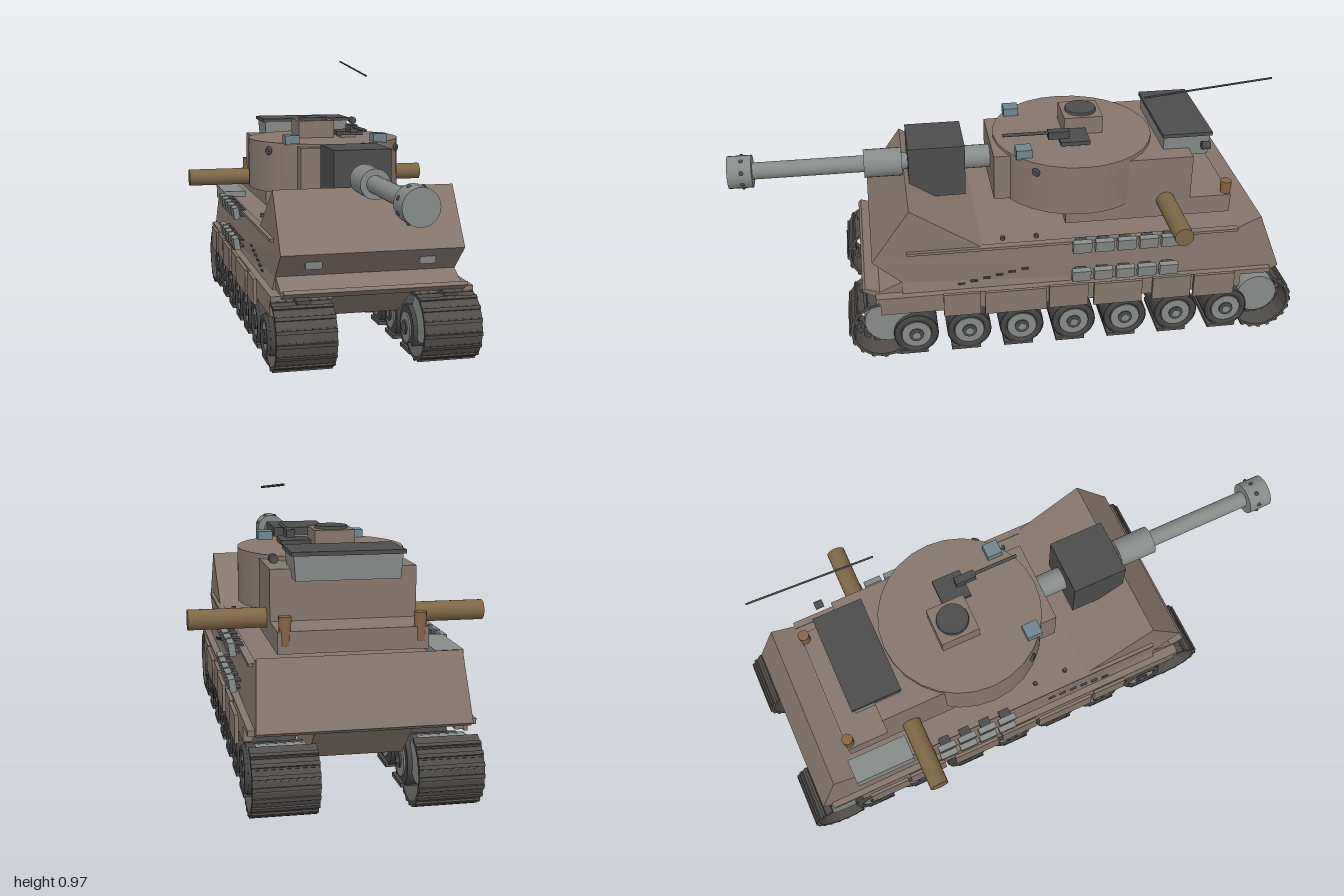
import * as THREE from 'three';

const mat = (color, flat = false) => new THREE.MeshStandardMaterial({ color, flatShading: flat, side: THREE.DoubleSide });
const paint = mat(0x85766d, true), armour = mat(0x85766d), dark = mat(0x4c4c4c), steel = mat(0x868a88),
  rubber = mat(0x454444), trackMetal = mat(0x504d4a), wood = mat(0x7d6746), glass = mat(0x71858f), copper = mat(0x8a6444);

export function createModel() {
  const model = new THREE.Group();
  model.name = 'tank';

  const add = (name, geometry, material, x = 0, y = 0, z = 0, parent = model) => {
    const mesh = new THREE.Mesh(geometry, material);
    mesh.name = name;
    mesh.position.set(x, y, z);
    parent.add(mesh);
    return mesh;
  };
  const group = (name) => {
    const g = new THREE.Group();
    g.name = name;
    model.add(g);
    return g;
  };
  // Box given by its limits on each axis
  const box = (name, m, [x0, x1], [y0, y1], [z0, z1], parent) =>
    add(name, new THREE.BoxGeometry(x1 - x0, y1 - y0, z1 - z0), m, (x0 + x1) / 2, (y0 + y1) / 2, (z0 + z1) / 2, parent);
  const cylX = (name, m, r, len, x, y, z, parent, sides = 20) =>
    add(name, new THREE.CylinderGeometry(r, r, len, sides).rotateZ(Math.PI / 2), m, x, y, z, parent);
  const cylZ = (name, m, r, z0, z1, x, y, parent, sides = 24) =>
    add(name, new THREE.CylinderGeometry(r, r, z1 - z0, sides).rotateX(Math.PI / 2), m, x, y, (z0 + z1) / 2, parent);
  // Side profile of [z, y] points, extruded across x; half width follows a rule of height
  const sideExtrude = (name, points, half) => {
    const shape = new THREE.Shape(points.map(([z, y]) => new THREE.Vector2(-z, y)));
    const g = new THREE.ExtrudeGeometry(shape, { depth: 2, bevelEnabled: false });
    g.translate(0, 0, -1).rotateY(Math.PI / 2);
    const p = g.attributes.position;
    for (let i = 0; i < p.count; i++) p.setX(i, p.getX(i) * half(p.getY(i)));
    g.computeVertexNormals();
    return add(name, g, paint);
  };

  // Hull: wedge nose, flat deck, raised rear lip
  sideExtrude('upperHull', [[0.42, 0.31], [0.52, 0.4], [0.385, 0.595], [0.135, 0.43], [-0.78, 0.43],
    [-0.865, 0.47], [-0.945, 0.265], [-0.92, 0.25], [0.42, 0.25]], (y) => (y < 0.3 ? 0.325 : 0.312));
  sideExtrude('lowerHull', [[0.5, 0.27], [0.3, 0.14], [-0.8, 0.14], [-0.92, 0.26]], () => 0.148);
  sideExtrude('nosePlate', [[0.41, 0.316], [0.5, 0.275], [0.55, 0.293], [0.56, 0.282], [0.51, 0.255], [0.41, 0.255]], () => 0.31);
  for (const s of [-1, 1]) {
    const side = s > 0 ? 'left' : 'right';
    const span = (a, b) => (s > 0 ? [a, b] : [-b, -a]);

    // Fenders and skirts
    const plates = group(side + 'Skirts');
    box('fender', paint, span(0.14, 0.345), [0.25, 0.268], [-0.91, 0.515], plates);
    box('innerSkirt', paint, span(0.315, 0.345), [0.2, 0.268], [-0.8, 0.5], plates);
    [[0.28, 0.15], [0.135, -0.085], [-0.095, -0.235], [-0.255, -0.43], [-0.47, -0.61], [-0.62, -0.77]].forEach(([a, b], i) =>
      box('skirtPanel', paint, span(0.35 + (i % 2) * 0.005, 0.362 + (i % 2) * 0.005), [0.185, 0.275], [b, a], plates));
    box('frontTab', trackMetal, span(0.225, 0.27), [0.25, 0.262], [0.5, 0.57], plates);
    box('sideRail', paint, span(0.3, 0.325), [0.424, 0.434], [-0.78, 0.4], plates);
    for (let i = 0; i < 6; i++)
      box('sideBolt', dark, span(0.31, 0.322), [0.285 + i * 0.009, 0.291 + i * 0.009], [0.2 - i * 0.045, 0.225 - i * 0.045], plates);

    // Spare links in two rows
    const spares = group(side + 'SpareLinks');
    for (const y of [0.425, 0.307])
      for (let i = 0; i < 5; i++) {
        const z = -0.21 - i * 0.079;
        const link = add('spareLink', new THREE.BoxGeometry(0.022, 0.044, 0.066), steel, s * 0.347, y, z, spares);
        link.rotation.z = -s * 0.15;
        for (const dy of [-0.012, 0.012])
          box('linkBracket', dark, span(0.31, 0.34), [y + dy - 0.003, y + dy + 0.003], [z - 0.02, z + 0.02], spares);
      }

    // Road wheels, each with a track pad beneath
    const gear = group(side + 'RunningGear');
    for (let i = 0; i < 7; i++) {
      const z = 0.38 - i * 0.19;
      cylX('tyre', rubber, 0.08, 0.18, s * 0.245, 0.1, z, gear, 24);
      add('wheelRim', new THREE.TorusGeometry(0.066, 0.012, 6, 24).rotateY(Math.PI / 2), rubber, s * 0.335, 0.1, z, gear);
      cylX('wheelDisc', steel, 0.053, 0.19, s * 0.245, 0.1, z, gear);
      cylX('wheelHub', dark, 0.026, 0.2, s * 0.245, 0.1, z, gear, 12);
      cylX('wheelCap', steel, 0.014, 0.205, s * 0.245, 0.1, z, gear, 10);
      box('trackPad', trackMetal, span(0.145, 0.345), [0.022, 0.036], [z - 0.04, z + 0.065], gear);
    }
    cylX('sprocket', steel, 0.085, 0.15, s * 0.245, 0.155, 0.475, gear, 16);
    cylX('idler', steel, 0.075, 0.15, s * 0.245, 0.14, -0.88, gear, 20);

    // Track wrapped round each end: centre z, y, radius, first and last angle
    for (const [cz, cy, r, a0, a1] of [[0.497, 0.135, 0.108, 1.75, -2.1], [-0.89, 0.118, 0.104, 2.1, 5.15]]) {
      const n = 10;
      for (let i = 0; i <= n; i++) {
        const a = a0 + ((a1 - a0) * i) / n;
        const link = new THREE.Group();
        link.name = 'trackLink';
        link.position.set(s * 0.245, cy + Math.sin(a) * r, cz + Math.cos(a) * r);
        link.rotation.x = -a;
        gear.add(link);
        // Local +z points outward, local y runs along the track
        add('linkPlate', new THREE.BoxGeometry(0.2, 0.046, 0.01), trackMetal, 0, 0, 0, link);
        add('linkBar', new THREE.BoxGeometry(0.2, 0.012, 0.012), trackMetal, 0, 0.012, 0.005, link);
        add('guideTooth', new THREE.BoxGeometry(0.045, 0.02, 0.02), trackMetal, 0, 0, -0.012, link);
      }
    }

    // Paired fittings
    const lamp = add(side + 'Headlight', new THREE.BoxGeometry(0.056, 0.042, 0.04), steel, s * 0.195, 0.366, 0.465);
    lamp.rotation.x = 0.1;
    box(side + 'Periscope', glass, span(0.14, 0.192), [0.7, 0.734], [-0.055, 0.0]);
    const eye = add(side + 'LiftingHook', new THREE.TorusGeometry(0.01, 0.006, 6, 12), dark, s * 0.243, 0.675, -0.06);
    eye.rotation.y = s * 0.9;
    add(side + 'RearPost', new THREE.CylinderGeometry(0.02, 0.017, 0.09, 14), copper, s * 0.21, 0.525, -0.757);
    for (const z of [0.06, -0.06])
      add(side + 'DeckBolt', new THREE.CylinderGeometry(0.008, 0.008, 0.012, 8), dark, s * 0.27, 0.436, z);
  }

  // Turret with rear bustle and base block
  box('turretBase', paint, [-0.235, 0.235], [0.455, 0.525], [-0.77, -0.17]);
  add('turret', new THREE.CylinderGeometry(0.287, 0.287, 0.185, 28), armour, 0, 0.6125, -0.228);
  box('bustle', paint, [-0.235, 0.235], [0.52, 0.69], [-0.62, -0.3]);
  box('gunShield', paint, [-0.15, 0.15], [0.525, 0.695], [-0.05, 0.074]);

  // Main gun
  const gun = group('gun');
  box('mantlet', dark, [-0.1, 0.1], [0.525, 0.718], [0.17, 0.37], gun);
  cylZ('recoilTube', steel, 0.042, 0.06, 0.18, 0, 0.622, gun);
  cylZ('barrel', steel, 0.03, 0.3, 0.96, 0, 0.622, gun);
  cylZ('barrelSleeve', steel, 0.051, 0.39, 0.525, 0, 0.622, gun);
  cylZ('muzzleBrake', steel, 0.058, 0.915, 1, 0, 0.622, gun);
  for (let i = 0; i < 8; i++) {
    const a = (i + 0.5) * Math.PI / 4;
    add('muzzlePort', new THREE.SphereGeometry(0.008, 8, 6), dark, Math.cos(a) * 0.056, 0.622 + Math.sin(a) * 0.056, 0.95, gun);
  }

  // Cupola, side hatch and roof machine gun
  box('cupola', paint, [-0.1, 0.038], [0.7, 0.77], [-0.335, -0.195]);
  add('cupolaHatch', new THREE.CylinderGeometry(0.055, 0.058, 0.014, 24), dark, -0.031, 0.773, -0.265);
  box('sideHatch', dark, [0.04, 0.143], [0.715, 0.73], [-0.27, -0.165]);
  box('hatchFoot', paint, [0.06, 0.12], [0.7, 0.716], [-0.25, -0.185]);
  box('gunReceiver', dark, [0.085, 0.113], [0.728, 0.757], [-0.2, -0.125]);
  cylZ('machineGunBarrel', dark, 0.006, -0.13, 0.035, 0.099, 0.75, model, 10);

  // Stowage bin on the bustle, slightly narrower at its floor
  const bin = new THREE.CylinderGeometry(Math.SQRT1_2, Math.SQRT1_2 * 0.96, 0.085, 4).rotateY(Math.PI / 4);
  bin.scale(0.345, 1, 0.168);
  add('stowageBin', bin, mat(0x868a88, true), 0, 0.704, -0.61);
  box('binLid', dark, [-0.18, 0.18], [0.74, 0.753], [-0.7, -0.52]);

  // Log, toolbox and aerial
  cylX('log', wood, 0.033, 0.97, 0, 0.521, -0.53);
  box('toolbox', steel, [-0.34, -0.25], [0.4, 0.452], [-0.79, -0.57]);
  cylZ('aerialMount', dark, 0.015, -0.675, -0.645, 0.23, 0.73, model, 8);
  const aerial = add('aerial', new THREE.CylinderGeometry(0.0035, 0.0035, 0.442, 8), dark, 0.23, 0.95, -0.65);
  aerial.rotation.x = -Math.PI / 2 + 0.102;

  return model;
}
